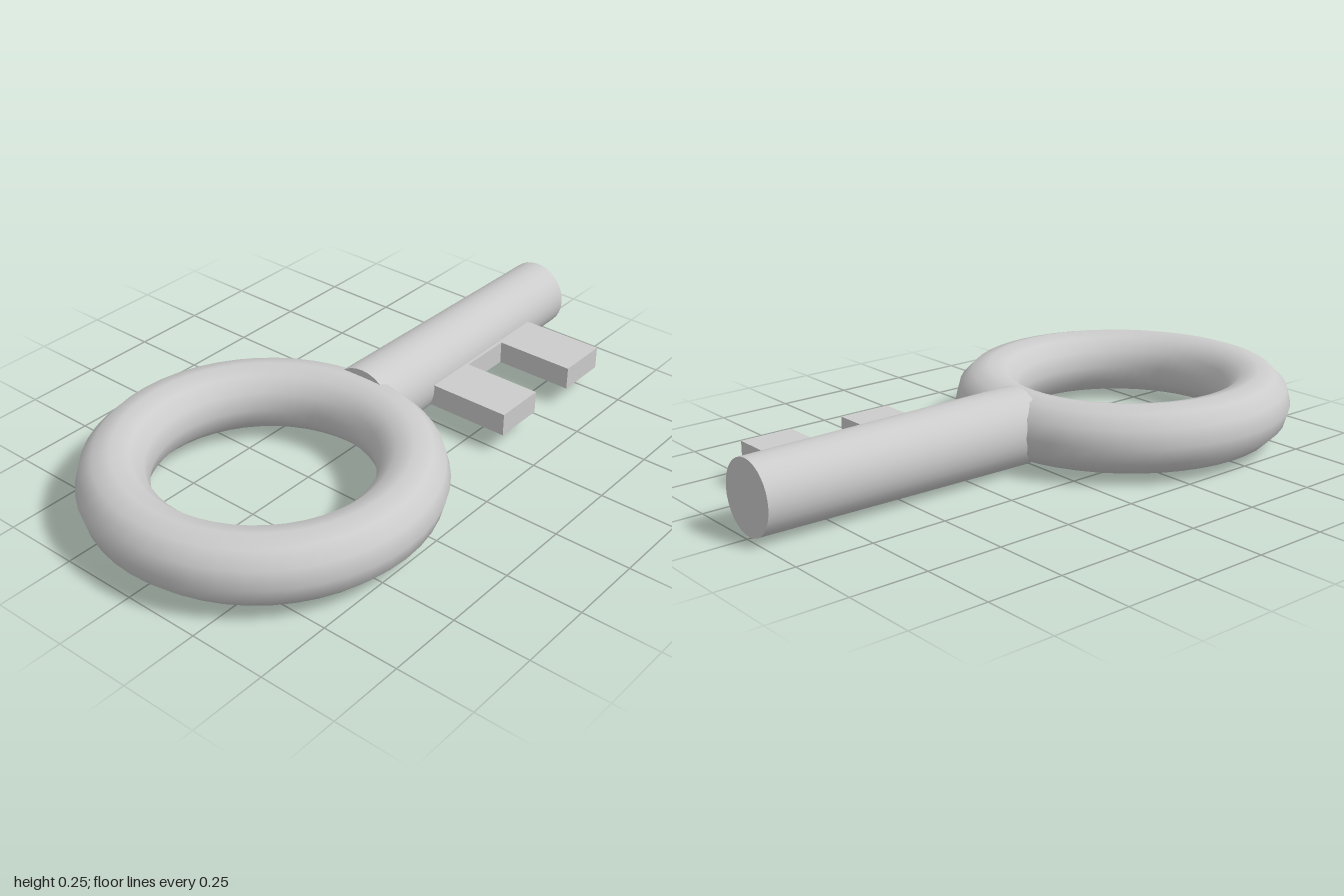
import * as THREE from 'three';

export function createModel() {
  const key = new THREE.Group();
  key.name = 'key';
  const material = new THREE.MeshStandardMaterial({ color: 0xcccccc });
  const add = (name, geometry, x, y, z) => {
    const mesh = new THREE.Mesh(geometry, material);
    mesh.name = name;
    mesh.position.set(x, y, z);
    key.add(mesh);
    return mesh;
  };

  // Ring handle lying flat
  add('bow', new THREE.TorusGeometry(0.445, 0.11, 12, 48).rotateX(Math.PI / 2), -0.445, 0.13, 0);

  // Round shaft, tapering slightly to the tip
  const shaft = new THREE.CylinderGeometry(0.116, 0.127, 0.975, 32).rotateZ(-Math.PI / 2);
  add('shaft', shaft.scale(1, 1, 0.97), 0.5125, 0.13, -0.012);

  // Two teeth joined by a thin bar, drawn in plan (x, z) and extruded upward
  const plan = [
    [0.245, 0], [0.245, 0.382], [0.422, 0.382], [0.422, 0.115],
    [0.608, 0.115], [0.608, 0.382], [0.785, 0.382], [0.785, 0],
  ];
  const outline = new THREE.Shape(plan.map(([x, z]) => new THREE.Vector2(x, -z)));
  const bit = new THREE.ExtrudeGeometry(outline, { depth: 0.076, bevelEnabled: false });
  add('teeth', bit.rotateX(-Math.PI / 2), 0, 0.068, 0);

  return key;
}
